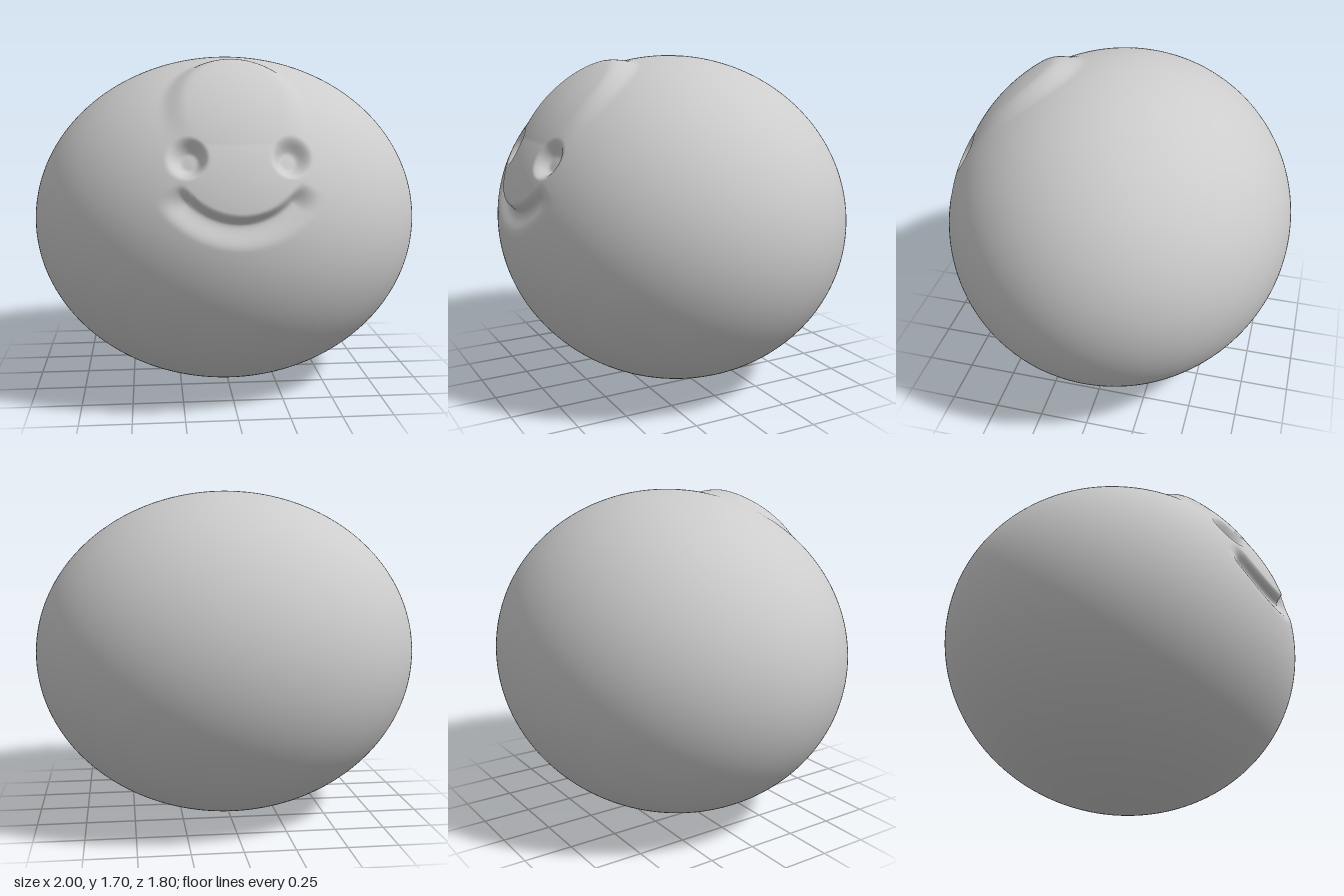
import * as THREE from 'three';
import { mergeVertices } from 'three/addons/utils/BufferGeometryUtils.js';

const smooth = THREE.MathUtils.smoothstep;

// Crater-shaped eye sockets
function eyeDepth(p) {
  const d = Math.hypot(Math.abs(p.x) - 0.235, p.y - 1.245, (p.z - 0.77) * 0.6);
  return 0.055 * (1 - smooth(d, 0.035, 0.1));
}

// Smile groove: an arc with a steep upper edge and a soft lower lip
function smileDepth(p) {
  const dx = p.x, dy = 1.314 - p.y;
  const d = Math.hypot(dx, dy) - 0.355;
  const angle = Math.abs(Math.atan2(dx, dy));
  const profile = d < 0 ? smooth(d, -0.045, 0) : 1 - smooth(d, 0, 0.115);
  return 0.045 * profile * (1 - smooth(angle, 0.75, 1.02));
}

// Shallow raised disc on the forehead, strongest at its upper rim
function browHeight(p) {
  const d = Math.hypot(p.x * 1.3, p.y - 1.46, p.z - 0.6);
  const height = THREE.MathUtils.clamp(0.022 + 0.14 * (p.y - 1.46), 0, 0.05);
  return height * (1 - smooth(d, 0.3, 0.46));
}

function bodyGeometry() {
  const rows = 200, columns = 240;
  let geo = new THREE.SphereGeometry(1, columns, rows);
  geo.deleteAttribute('uv');
  geo.deleteAttribute('normal');
  const pos = geo.attributes.position;
  const p = new THREE.Vector3(), n = new THREE.Vector3();
  const xAxis = new THREE.Vector3(1, 0, 0);
  for (let i = 0; i < pos.count; i++) {
    // Gather the rings around the face, with the pole between the eyes
    const row = Math.floor(i / (columns + 1));
    const theta = Math.PI * Math.pow(row / rows, 1.4);
    const phi = ((i % (columns + 1)) % columns) / columns * Math.PI * 2;
    p.set(-Math.cos(phi) * Math.sin(theta), Math.cos(theta), Math.sin(phi) * Math.sin(theta));
    p.applyAxisAngle(xAxis, 1.15);
    // Ellipsoid body resting on the ground
    n.set(p.x, p.y / 0.85, p.z / 0.9).normalize();
    p.set(p.x, 0.85 + p.y * 0.85, p.z * 0.9);
    // Sculpt the face along the surface normal
    if (p.z > 0) p.addScaledVector(n, browHeight(p) - eyeDepth(p) - smileDepth(p));
    pos.setXYZ(i, p.x, p.y, p.z);
  }
  geo = mergeVertices(geo, 1e-6);
  geo.computeVertexNormals();
  return geo;
}

export function createModel() {
  const group = new THREE.Group();
  group.name = 'smilingBall';
  const grey = new THREE.MeshStandardMaterial({ color: 0xcccccc });
  grey.name = 'light grey';
  const body = new THREE.Mesh(bodyGeometry(), grey);
  body.name = 'bodyWithFace';
  group.add(body);
  return group;
}
